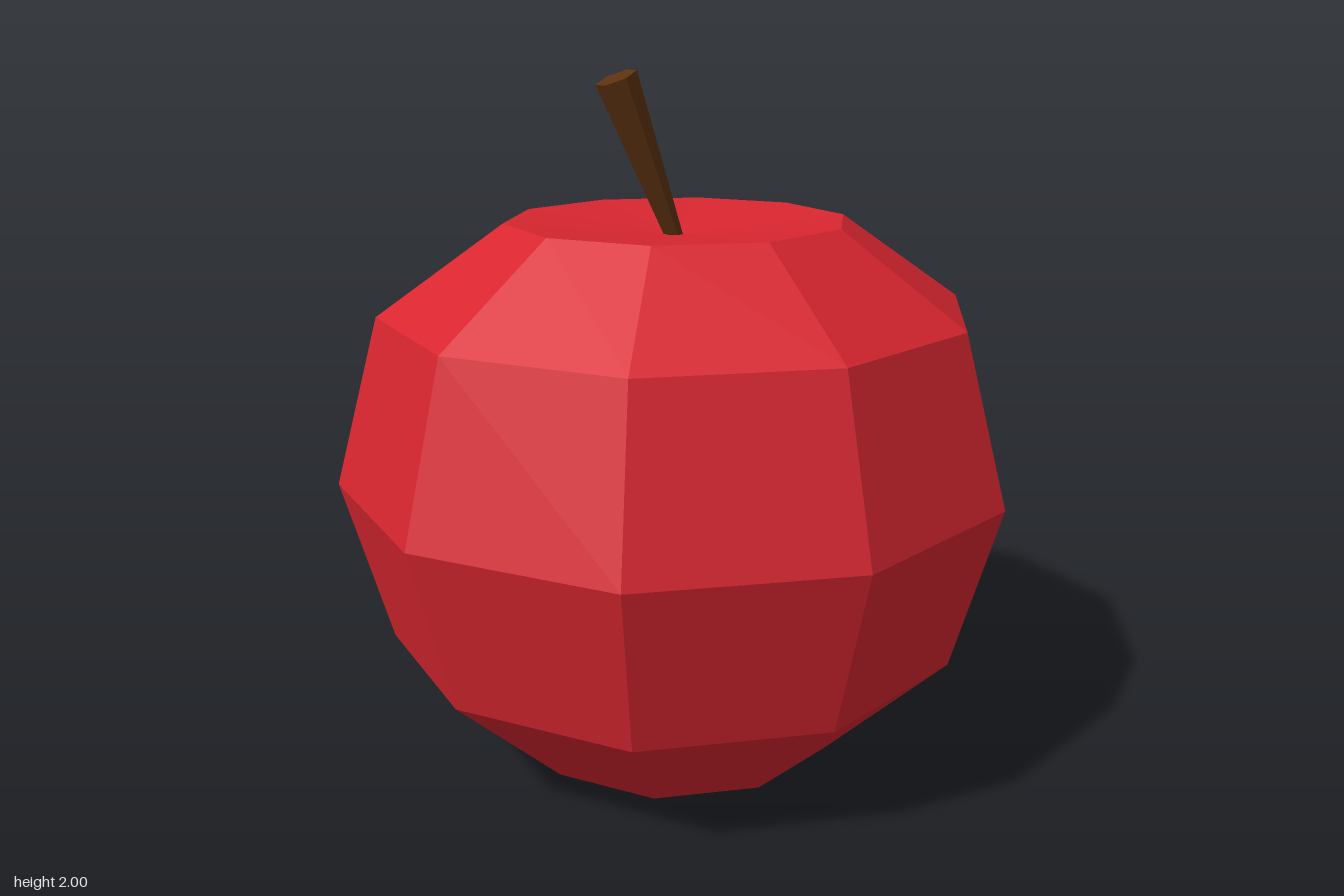
import * as THREE from 'three';

export function createModel() {
  const red = new THREE.MeshStandardMaterial({ color: 0xd82630, flatShading: true });
  red.name = 'apple red';
  const brown = new THREE.MeshStandardMaterial({ color: 0x5c3210, flatShading: true });
  brown.name = 'stem brown';

  const group = new THREE.Group();
  group.name = 'apple';

  // Ten-sided body: rings every 30 degrees, flattened base, shallow dent on top
  const profile = [
    [0, 0], [0.5, 0.012], [0.866, 0.365], [1, 0.85],
    [0.866, 1.333], [0.5, 1.585], [0, 1.54],
  ].map(([r, y]) => new THREE.Vector2(r, y));
  const body = new THREE.Mesh(new THREE.LatheGeometry(profile, 10), red);
  body.name = 'appleBody';
  body.scale.set(0.99, 1, 0.978);
  group.add(body);

  // Six-sided stem, wider at the top, leaning to the model's right
  const length = 0.5;
  const stemGeometry = new THREE.CylinderGeometry(0.06, 0.024, length, 6);
  stemGeometry.translate(0, -length / 2, 0);
  const stem = new THREE.Mesh(stemGeometry, brown);
  stem.name = 'stem';
  stem.position.set(-0.188, 1.98, 0);
  stem.rotation.z = 0.384;
  group.add(stem);

  return group;
}
